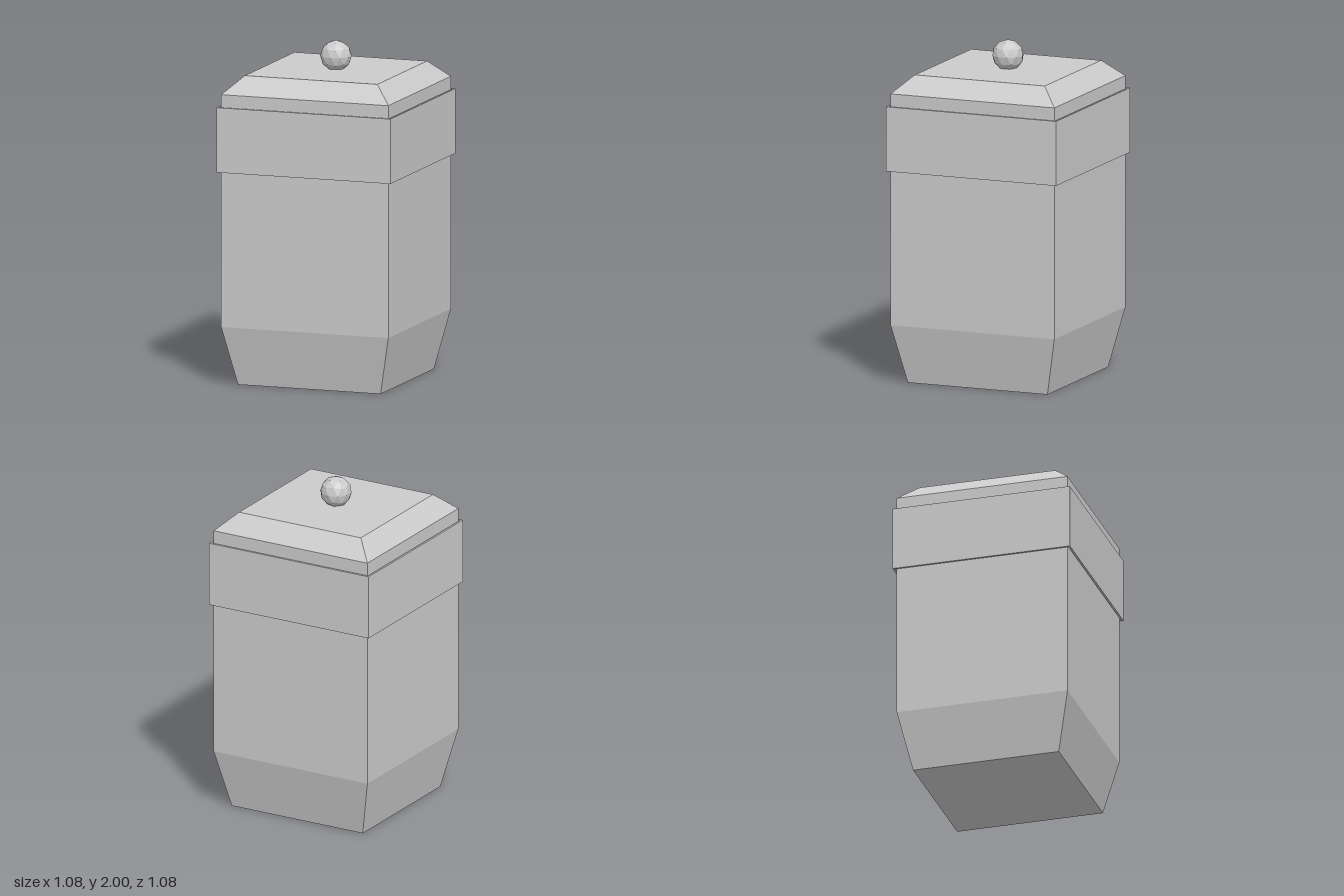
import * as THREE from 'three';

const material = new THREE.MeshStandardMaterial({ color: 0xcccccc, flatShading: true });

// Square solid from [half width, height] pairs, listed upwards along the outside
function squareLathe(name, profile) {
  const points = profile.map(([half, y]) => new THREE.Vector2(half * Math.SQRT2, y));
  const geometry = new THREE.LatheGeometry(points, 4, Math.PI / 4).toNonIndexed();
  geometry.computeVertexNormals();
  const mesh = new THREE.Mesh(geometry, material);
  mesh.name = name;
  return mesh;
}

export function createModel() {
  const group = new THREE.Group();
  group.name = 'lidded jar';

  const half = 0.522;
  const seam = 1.46; // joint between body and lid, hidden behind the band

  // Body with a tapered foot
  group.add(squareLathe('body', [[0, 0], [0.445, 0], [half, 0.35], [half, seam]]));

  // Lid with bevelled top edges
  group.add(squareLathe('lid', [[half, seam], [half, 1.73], [0.414, 1.832], [0, 1.832]]));

  // Hollow band standing slightly clear of the walls
  group.add(squareLathe('band', [[0.542, 1.27], [0.542, 1.655], [0.53, 1.655], [0.53, 1.27], [0.542, 1.27]]));

  // Faceted knob, turned so that one corner points straight up
  const radius = 0.093;
  const ball = new THREE.IcosahedronGeometry(radius, 1);
  ball.rotateX(-Math.atan((1 + Math.sqrt(5)) / 2));
  ball.rotateY(Math.PI / 2);
  ball.computeVertexNormals();
  const knob = new THREE.Mesh(ball, material);
  knob.name = 'knob';
  knob.position.y = 2 - radius;
  group.add(knob);

  return group;
}
